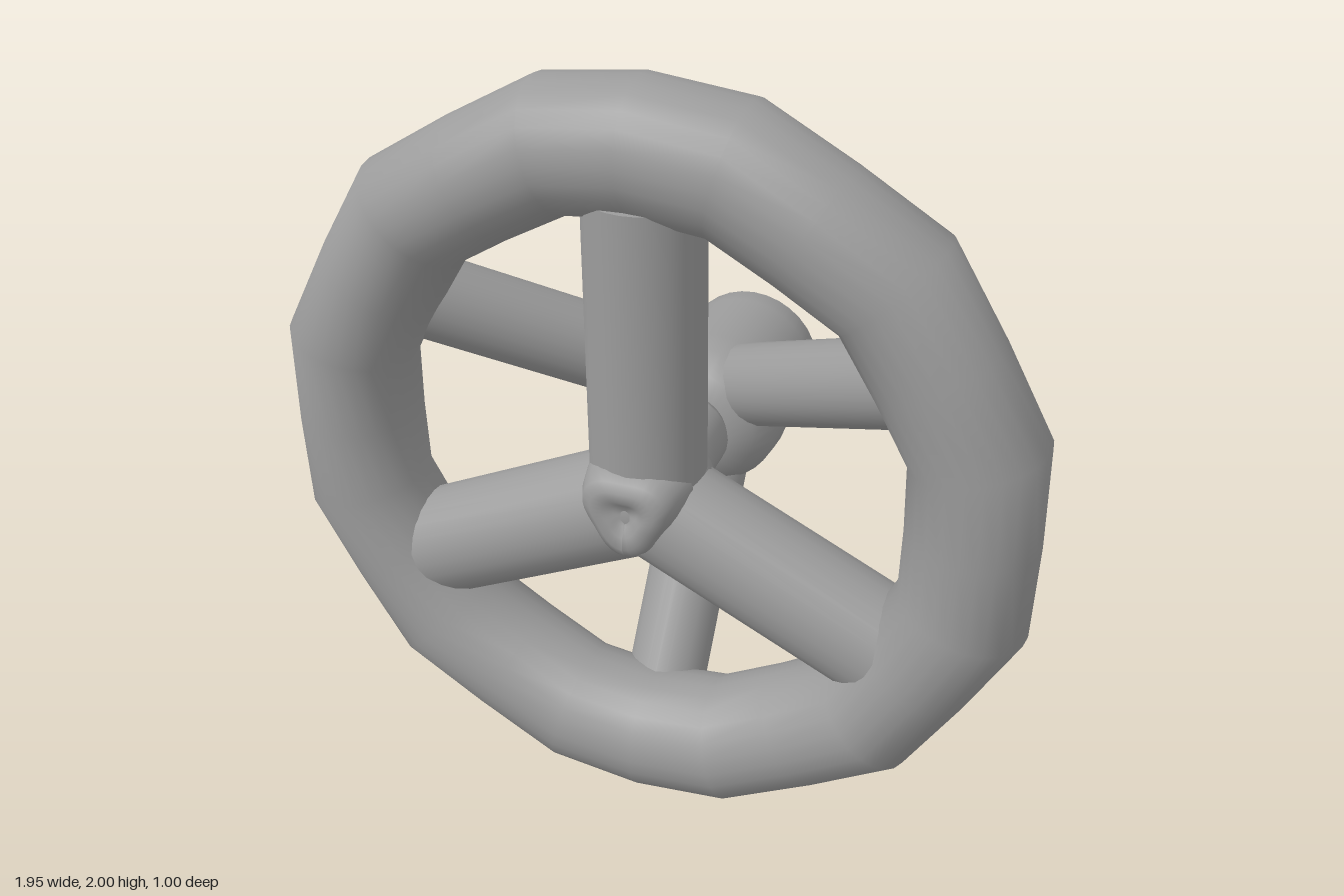
import * as THREE from 'three';

const material = new THREE.MeshStandardMaterial({ color: 0x9c9c9c });
const v = (x, y, z) => new THREE.Vector3(x, y, z);

export function createModel() {
  const group = new THREE.Group();
  const add = (name, geometry) => {
    const mesh = new THREE.Mesh(geometry, material);
    mesh.name = name;
    group.add(mesh);
    return mesh;
  };

  // round bar between two points
  const bar = (name, a, b, radius) => {
    const dir = b.clone().sub(a);
    const mesh = add(name, new THREE.CylinderGeometry(radius, radius, dir.length(), 24));
    mesh.position.copy(a).add(b).multiplyScalar(0.5);
    mesh.quaternion.setFromUnitVectors(v(0, 1, 0), dir.normalize());
    return mesh;
  };

  // profile of [radius, z] turned about the z axis
  const turned = (points, segments) => new THREE.LatheGeometry(
    points.map(([r, z]) => new THREE.Vector2(r, z)), segments).rotateX(Math.PI / 2);

  // rim: twelve soft corners, with the middles of the edges drawn in
  const rimShape = new THREE.TorusGeometry(0.84, 0.165, 24, 24);
  const rp = rimShape.attributes.position;
  for (let i = 0; i < rp.count; i++) {
    const step = i % 25;
    const k = step % 2 ? 1 : step % 12 === 6 ? 0.995 : 0.972;
    rp.setXY(i, rp.getX(i) * k, rp.getY(i) * k);
  }
  add('rim', rimShape).position.set(0, 1, 0.33);

  // front spokes, in the plane of the rim, slightly flattened
  const front = v(0, 0.91, 0.325);
  bar('frontSpokeTop', front, v(0, 1.72, 0.325), 0.148).scale.z = 0.94;
  for (const s of [-1, 1]) {
    bar(s > 0 ? 'frontSpokeLeft' : 'frontSpokeRight', front, v(s * 0.615, 0.62, 0.325), 0.148).scale.z = 0.94;
  }
  const core = add('frontHub', new THREE.SphereGeometry(0.165, 24, 16));
  core.position.set(0, 0.93, 0.315);

  // boss behind the front hub, reaching the rear hub
  const boss = add('connectingBoss', turned(
    [[0, 0], [0.09, 0.01], [0.11, 0.05], [0.112, 0.15], [0.13, 0.25]], 24));
  boss.position.y = 0.94;

  // rounded triangular cap with a dimple, one corner pointing down
  const cap = turned([[0.135, 0.38], [0.118, 0.45], [0.104, 0.485], [0.08, 0.5],
    [0.05, 0.497], [0.03, 0.48], [0, 0.475]], 36);
  const p = cap.attributes.position;
  for (let i = 0; i < p.count; i++) {
    const angle = Math.atan2(p.getY(i), p.getX(i));
    const k = 1 + 0.12 * Math.cos(3 * (angle + Math.PI / 2));
    p.setXY(i, p.getX(i) * k, p.getY(i) * k);
  }
  cap.computeVertexNormals();
  add('frontCap', cap).position.y = 0.945;

  // rear hub: shaft end with a domed front where the spokes meet
  const hub = add('rearHub', turned([[0, -0.5], [0.15, -0.5], [0.18, -0.49], [0.195, -0.465],
    [0.2, -0.4], [0.2, -0.22], [0.205, -0.16], [0.2, -0.08], [0.16, -0.01], [0.09, 0.025], [0, 0.03]], 32));
  hub.position.y = 0.925;

  // rear spokes, sloping forward to the back of the rim
  for (const s of [-1, 1]) {
    bar(s > 0 ? 'rearSpokeLeft' : 'rearSpokeRight', v(0, 0.96, -0.19), v(s * 0.68, 1.33, 0.25), 0.112);
  }
  bar('rearSpokeBottom', v(0, 0.92, -0.21), v(0, 0.21, 0.25), 0.107);

  return group;
}
